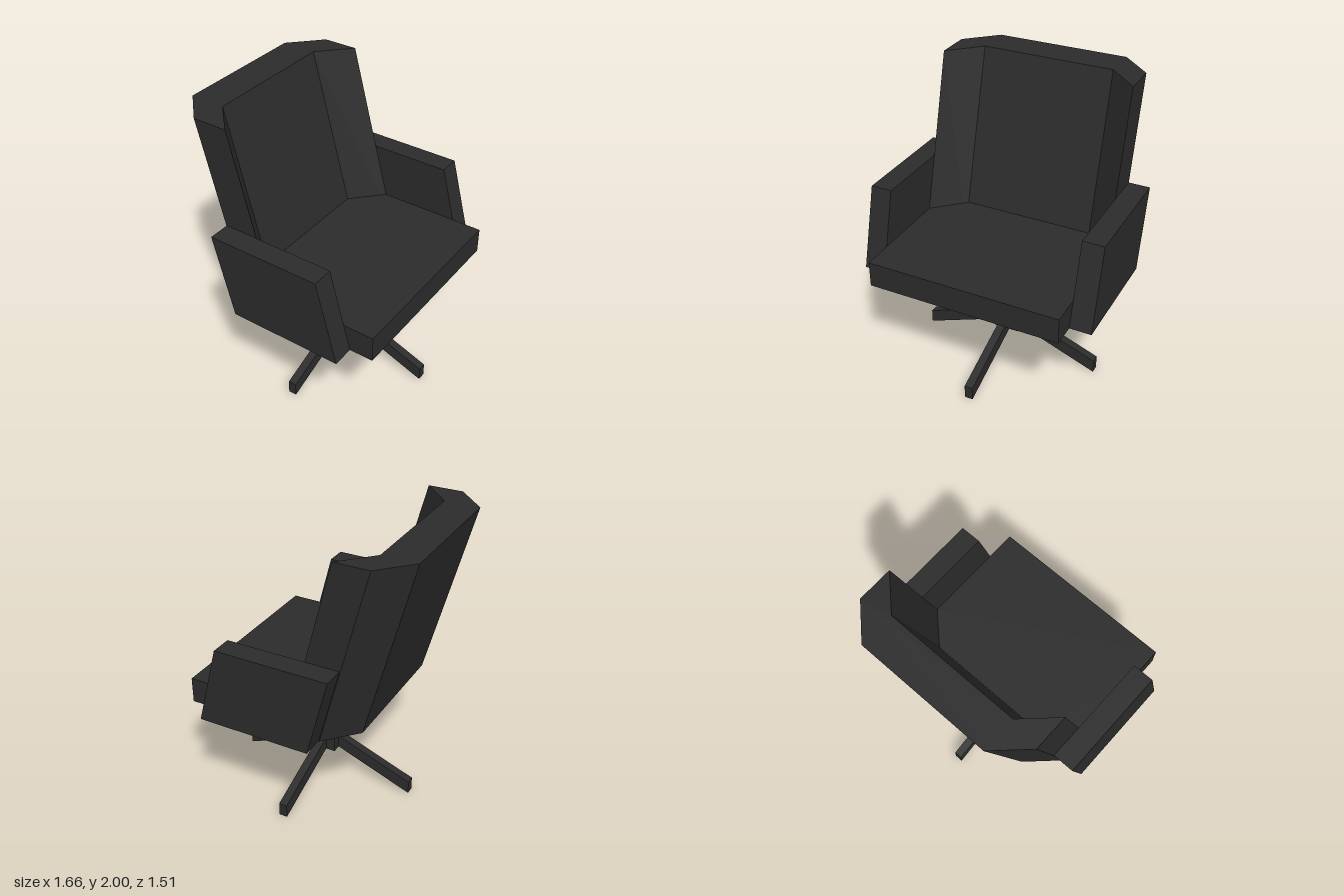
import * as THREE from 'three';

const material = new THREE.MeshStandardMaterial({ color: 0x2b2b2b, flatShading: true });
const LEAN = -0.268; // change of z per unit of height

function makeShape(points) {
  return new THREE.Shape(points.map(([x, y]) => new THREE.Vector2(x, y)));
}

function extrude(points, depth) {
  return new THREE.ExtrudeGeometry(makeShape(points), { depth, bevelEnabled: false });
}

function addMesh(parent, name, geometry) {
  const mesh = new THREE.Mesh(geometry, material);
  mesh.name = name;
  parent.add(mesh);
  return mesh;
}

// Prism from a plan outline of [x, z] points; vertices picked by the test lean back with height
function leaningPrism(outline, y0, y1, leans = () => true) {
  const geometry = extrude(outline.map(([x, z]) => [x, -z]), y1 - y0);
  geometry.rotateX(-Math.PI / 2);
  const p = geometry.attributes.position;
  for (let i = 0; i < p.count; i++) {
    if (leans(p.getZ(i))) p.setZ(i, p.getZ(i) + LEAN * p.getY(i));
  }
  geometry.translate(0, y0, 0);
  geometry.computeVertexNormals();
  return geometry;
}

export function createModel() {
  const chair = new THREE.Group();
  chair.name = 'swivelArmchair';

  // Backrest: a folded slab with angled wings, leaning back
  addMesh(chair, 'backrest', leaningPrism([
    [-0.68, -0.215], [-0.47, -0.415], [0.47, -0.415], [0.68, -0.215],
    [0.68, 0.03], [0.47, -0.17], [-0.47, -0.17], [-0.68, 0.03],
  ], 0.73, 2));

  // Seat cushion: its rear edge follows the backrest
  addMesh(chair, 'seat', leaningPrism([
    [-0.68, 0.755], [0.68, 0.755], [0.68, 0.03],
    [0.47, -0.17], [-0.47, -0.17], [-0.68, 0.03],
  ], 0.73, 0.91, (z) => z < 0.5));

  // Armrests: solid slanted side panels
  const armGeometry = extrude([[0.59, 0.73], [0.44, 1.29], [-0.36, 1.29], [-0.21, 0.73]], 0.15);
  armGeometry.rotateY(-Math.PI / 2);
  addMesh(chair, 'leftArmrest', armGeometry).position.x = 0.83;
  addMesh(chair, 'rightArmrest', armGeometry).position.x = -0.68;

  // Swivel base: square column with four sloping legs
  const base = new THREE.Group();
  base.name = 'base';
  base.position.set(0.025, 0, 0.078);
  chair.add(base);

  addMesh(base, 'column', new THREE.BoxGeometry(0.18, 0.48, 0.19)).position.y = 0.45;

  const legGeometry = extrude([[0.08, 0.218], [0.652, 0], [0.652, 0.095], [0.08, 0.312]], 0.058);
  legGeometry.translate(0, 0, -0.029);
  for (let i = 0; i < 4; i++) {
    addMesh(base, 'leg', legGeometry).rotation.y = (i * Math.PI) / 2;
  }

  return chair;
}
